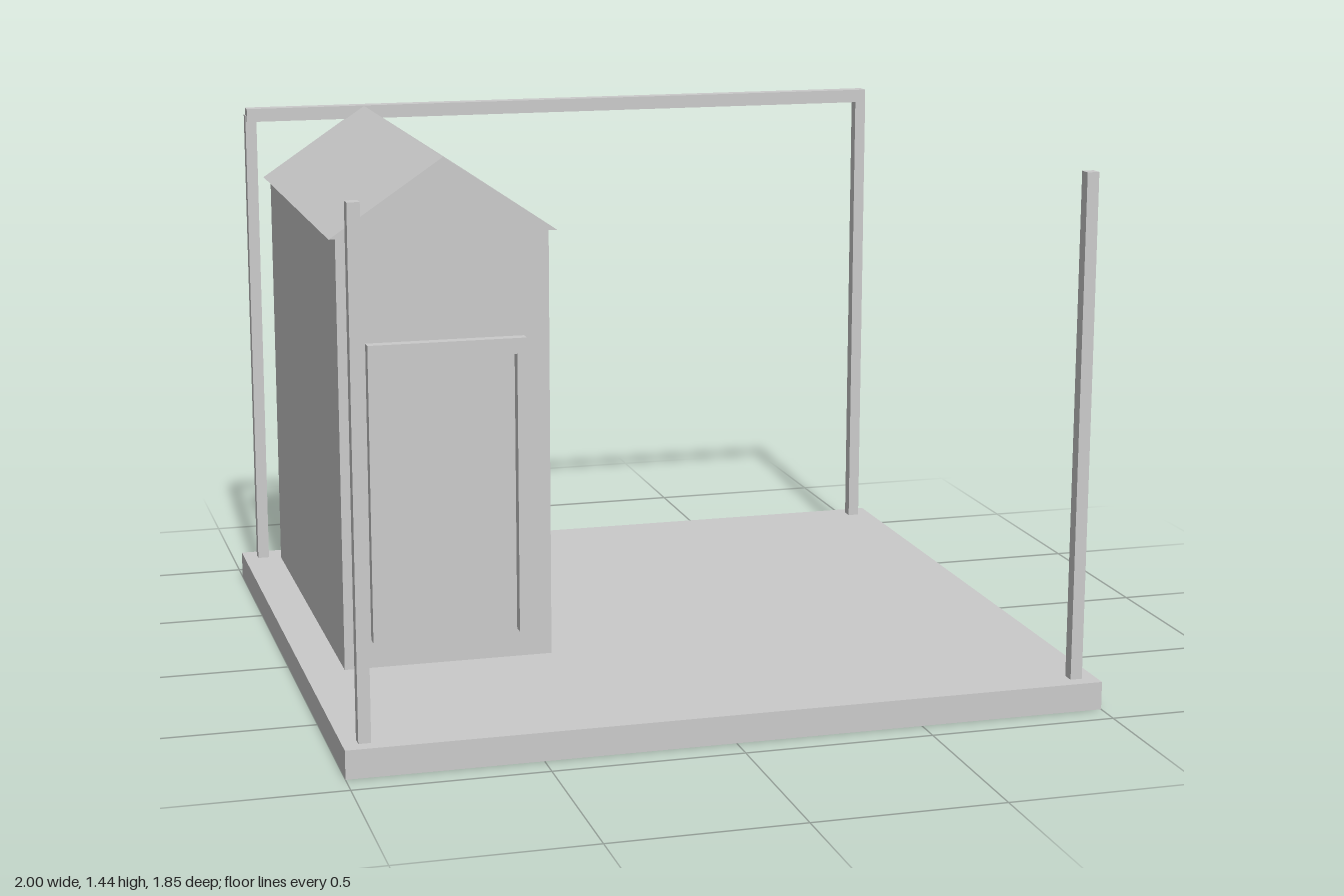
import * as THREE from 'three';

const material = new THREE.MeshStandardMaterial({ color: 0xcccccc, flatShading: true });

export function createModel() {
  const model = new THREE.Group();
  model.name = 'shelterOnPlatform';

  const add = (name, geometry, parent = model) => {
    const mesh = new THREE.Mesh(geometry, material);
    mesh.name = name;
    parent.add(mesh);
    return mesh;
  };
  // Box given by its extents on each axis
  const box = (name, [x0, x1], [y0, y1], [z0, z1], parent) =>
    add(name, new THREE.BoxGeometry(x1 - x0, y1 - y0, z1 - z0), parent)
      .position.set((x0 + x1) / 2, (y0 + y1) / 2, (z0 + z1) / 2);

  const floorY = 0.075;
  box('platform', [-1, 1], [0, floorY], [-0.925, 0.925]);

  // Corner posts
  for (const [side, sx] of [['Left', 1], ['Right', -1]]) {
    for (const [end, sz] of [['front', 1], ['back', -1]]) {
      const x = sx * 0.944, z = sz * 0.869;
      box(`${end}${side}Post`, [x - 0.016, x + 0.016], [floorY, 1.415], [z - 0.017, z + 0.017]);
    }
  }
  box('backBeam', [-0.957, 0.955], [1.398, 1.436], [-0.881, -0.839]);

  // Hut with a gabled roof
  const hut = new THREE.Group();
  hut.name = 'hut';
  model.add(hut);
  box('hutWalls', [-0.893, -0.329], [floorY, 1.234], [-0.841, 0.298], hut);

  const gable = new THREE.Shape([
    new THREE.Vector2(-0.912, 1.233),
    new THREE.Vector2(-0.31, 1.233),
    new THREE.Vector2(-0.611, 1.435),
  ]);
  add('gableRoof', new THREE.ExtrudeGeometry(gable, { depth: 1.166, bevelEnabled: false }), hut)
    .position.z = -0.851;

  // Door panel and the frame around it
  box('doorPanel', [-0.799, -0.427], [0.168, 0.915], [0.296, 0.311], hut);
  const frameZ = [0.314, 0.346];
  box('doorFrameRight', [-0.823, -0.799], [0.157, 0.915], frameZ, hut);
  box('doorFrameLeft', [-0.427, -0.401], [0.157, 0.915], frameZ, hut);
  box('doorFrameTop', [-0.823, -0.401], [0.915, 0.957], frameZ, hut);

  return model;
}
